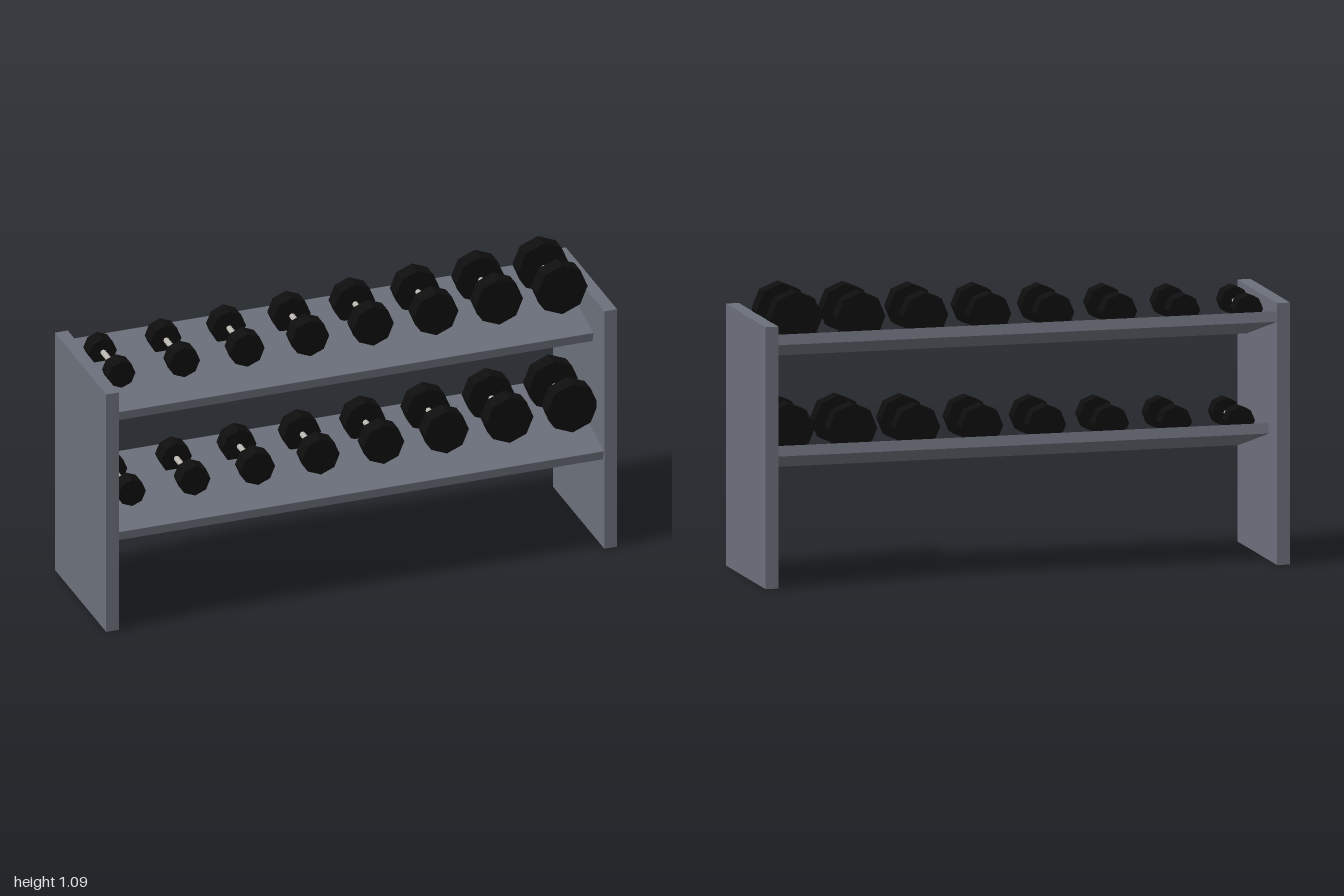
import * as THREE from 'three';

const material = (name, color) => {
  const m = new THREE.MeshStandardMaterial({ color, flatShading: true });
  m.name = name;
  return m;
};

export function createModel() {
  const frame = material('slate grey frame', 0x6b6f7a);
  const rubber = material('black rubber', 0x0e0e0e);
  const steel = material('steel', 0xb8b5ae);

  const model = new THREE.Group();
  model.name = 'dumbbellRack';

  const add = (parent, name, geometry, mat, x, y, z) => {
    const mesh = new THREE.Mesh(geometry, mat);
    mesh.name = name;
    mesh.position.set(x, y, z);
    parent.add(mesh);
    return mesh;
  };

  // Upright end panels
  for (const side of [-1, 1]) {
    add(model, side > 0 ? 'leftPanel' : 'rightPanel',
      new THREE.BoxGeometry(0.05, 0.975, 0.54), frame, side * 0.975, 0.4875, 0);
  }

  // One dumbbell: bar along z with an octagonal head at each end
  const makeDumbbell = (radius) => {
    const dumbbell = new THREE.Group();
    dumbbell.name = 'dumbbell';
    const head = new THREE.CylinderGeometry(radius, radius, 0.0645, 8).rotateX(Math.PI / 2);
    const bar = new THREE.CylinderGeometry(0.011, 0.011, 0.196, 8).rotateX(Math.PI / 2);
    add(dumbbell, 'frontHead', head, rubber, 0, 0, 0.098);
    add(dumbbell, 'backHead', head, rubber, 0, 0, -0.098);
    add(dumbbell, 'handle', bar, steel, 0, 0, 0);
    return dumbbell;
  };

  // Two tilted shelves, each carrying eight dumbbells of growing size
  const tiers = [
    { name: 'lowerTier', y: 0.435, z: 0.0525 },
    { name: 'upperTier', y: 0.869, z: -0.0575 },
  ];
  for (const { name, y, z } of tiers) {
    const tier = new THREE.Group();
    tier.name = name;
    tier.position.set(0, y, z);
    const shelf = add(tier, 'shelf', new THREE.BoxGeometry(1.9, 0.039, 0.43), frame, 0, 0, 0);
    shelf.rotation.x = THREE.MathUtils.degToRad(15);
    for (let i = 0; i < 8; i++) {
      const radius = 0.0535 + 0.0065 * i;
      const dumbbell = makeDumbbell(radius);
      dumbbell.position.set(-0.867 + 0.2464 * i, 0.0195 + radius, 0.0035);
      tier.add(dumbbell);
    }
    model.add(tier);
  }
  return model;
}
